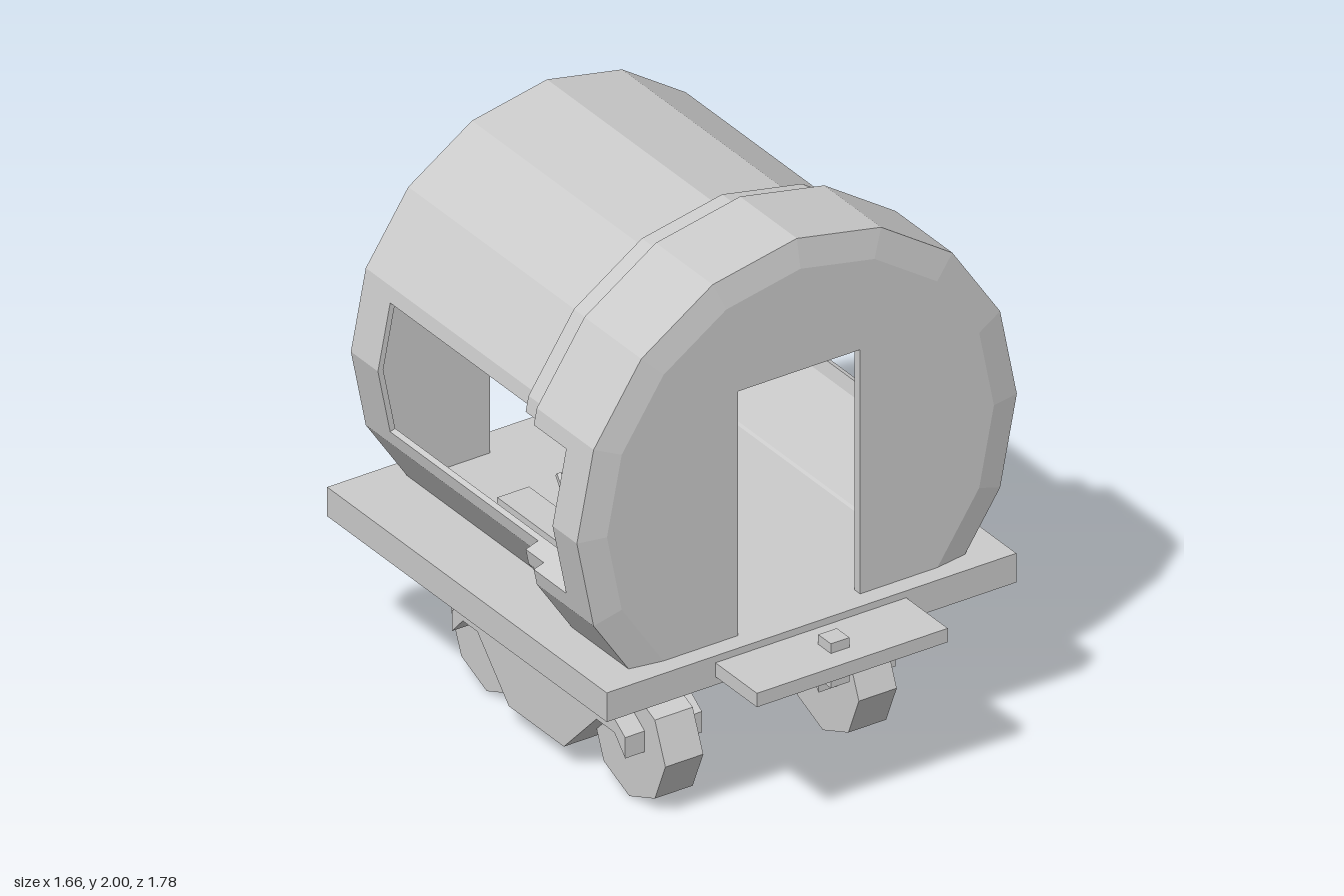
import * as THREE from 'three';

const RAD = Math.PI / 180, STEP = 22.5;
const AXIS_Y = 1.17;          // height of the barrel axis
const LOW = -46, SILL = -18.5, HEAD = 18.5; // angles of wall foot, window sill and window head
const INNER = 0.72;

export function createModel() {
  const root = new THREE.Group();
  const grey = new THREE.MeshStandardMaterial({ color: 0xcccccc, flatShading: true, side: THREE.DoubleSide });

  function add(name, geometry, parent = root) {
    const mesh = new THREE.Mesh(geometry, grey);
    mesh.name = name;
    parent.add(mesh);
    return mesh;
  }
  // box given by its limits
  function box(name, [x0, x1], [y0, y1], [z0, z1], parent) {
    const g = new THREE.BoxGeometry(x1 - x0, y1 - y0, z1 - z0);
    g.translate((x0 + x1) / 2, (y0 + y1) / 2, (z0 + z1) / 2);
    return add(name, g, parent);
  }
  // points along a 16-sided outline between two angles
  function arc(r, a0, a1) {
    const at = (a) => {
      const m = ((a % STEP) + STEP) % STEP;
      const d = r * Math.cos(STEP / 2 * RAD) / Math.cos((m - STEP / 2) * RAD);
      return new THREE.Vector2(d * Math.cos(a * RAD), AXIS_Y + d * Math.sin(a * RAD));
    };
    const pts = [at(a0)];
    for (let a = Math.ceil((a0 + 0.01) / STEP) * STEP; a < a1 - 0.01; a += STEP) pts.push(at(a));
    pts.push(at(a1));
    return pts;
  }
  function extrude(points, z0, z1) {
    const g = new THREE.ExtrudeGeometry(new THREE.Shape(points), { depth: z1 - z0, bevelEnabled: false });
    return g.translate(0, 0, z0);
  }
  function shell(name, r, a0, a1, z0, z1) {
    add(name, extrude([...arc(r, a0, a1), ...arc(INNER, a0, a1).reverse()], z0, z1));
  }

  // Platform, hitch plate and pin
  box('platform', [-0.775, 0.77], [0.55, 0.655], [-0.89, 0.66]);
  box('hitchPlate', [-0.365, 0.355], [0.58, 0.63], [0.6, 0.89]);
  box('hitchPin', [-0.035, 0.035], [0.505, 0.665], [0.745, 0.815]);

  // Barrel: full hoops at both ends, roof and low walls beside the windows
  shell('frontHoop', 0.83, LOW, 180 - LOW, 0.44, 0.575);
  shell('rearHoop', 0.74, LOW, 180 - LOW, -0.81, -0.66);
  for (const [name, r, z0, z1] of [
    ['front', 0.83, 0.26, 0.44], ['step', 0.79, 0.16, 0.26], ['rear', 0.74, -0.66, 0.16],
  ]) {
    shell(name + 'Roof', r, HEAD, 180 - HEAD, z0, z1);
    shell(name + 'LeftWall', r, LOW, SILL, z0, z1);
    shell(name + 'RightWall', r, 180 - SILL, 180 - LOW, z0, z1);
  }

  // Bevelled front rim
  const rim = new THREE.LatheGeometry(
    [new THREE.Vector2(0.83, 0.575), new THREE.Vector2(0.73, 0.595)], 12, 45 * RAD, 270 * RAD);
  rim.rotateX(Math.PI / 2).translate(0, AXIS_Y, 0);
  add('frontRim', rim);

  // End walls with a doorway
  function endWall(name, r, z0, z1) {
    const door = [[-0.235, 0.62], [-0.235, 1.535], [0.225, 1.535], [0.225, 0.62]];
    add(name, extrude([...arc(r, LOW, 180 - LOW), ...door.map(([x, y]) => new THREE.Vector2(x, y))], z0, z1));
  }
  endWall('frontWall', 0.73, 0.565, 0.595);
  endWall('rearWall', 0.735, -0.81, -0.78);

  // Bogies: post, arched side frame and octagonal wheels
  const profile = [[0.38, 0.2], [0.38, 0.275], [0.32, 0.315], [-0.52, 0.315], [-0.58, 0.275], [-0.58, 0.2],
    [-0.52, 0.265], [-0.44, 0.265], [-0.265, 0.08], [0.04, 0.08], [0.22, 0.265], [0.32, 0.265]];
  for (const side of [1, -1]) {
    const bogie = new THREE.Group();
    bogie.name = side > 0 ? 'leftBogie' : 'rightBogie';
    bogie.position.x = side * 0.365 - 0.005;
    box('bogiePost', [-0.047, 0.047], [0.3, 0.56], [-0.265, 0.04], bogie);
    const frame = extrude(profile.map(([z, y]) => new THREE.Vector2(z, y)), -0.145, 0.145);
    add('bogieFrame', frame.rotateY(-Math.PI / 2), bogie);
    for (const z of [0.295, -0.495]) {
      const wheel = new THREE.CylinderGeometry(0.2, 0.2, 0.143, 8);
      add('wheel', wheel.rotateZ(Math.PI / 2), bogie).position.set(0, 0.2, z);
    }
    root.add(bogie);
  }

  // Crates with raised end rims
  function crate(name, x, y, z) {
    const g = new THREE.Group();
    g.name = name;
    g.position.set(x, y, z);
    box('crateBody', [-0.05, 0.05], [0.01, 0.08], [-0.16, 0.16], g);
    for (const y0 of [0, 0.08]) box('crateBoard', [-0.06, 0.06], [y0, y0 + 0.01], [-0.17, 0.17], g);
    for (const x0 of [-0.06, 0.05]) box('crateSide', [x0, x0 + 0.01], [0.01, 0.08], [-0.17, 0.17], g);
    root.add(g);
  }
  crate('leftCrate', 0.478, 0.94, -0.46);
  crate('rightCrate', -0.4, 0.655, -0.24);

  // Leaning rod and small block inside
  const path = new THREE.LineCurve3(new THREE.Vector3(-0.47, 0.66, 0.18), new THREE.Vector3(-0.37, 0.9, -0.2));
  add('leaningRod', new THREE.TubeGeometry(path, 1, 0.012, 5));
  box('smallBlock', [-0.38, -0.31], [0.915, 0.947], [0.23, 0.28]);

  return root;
}
